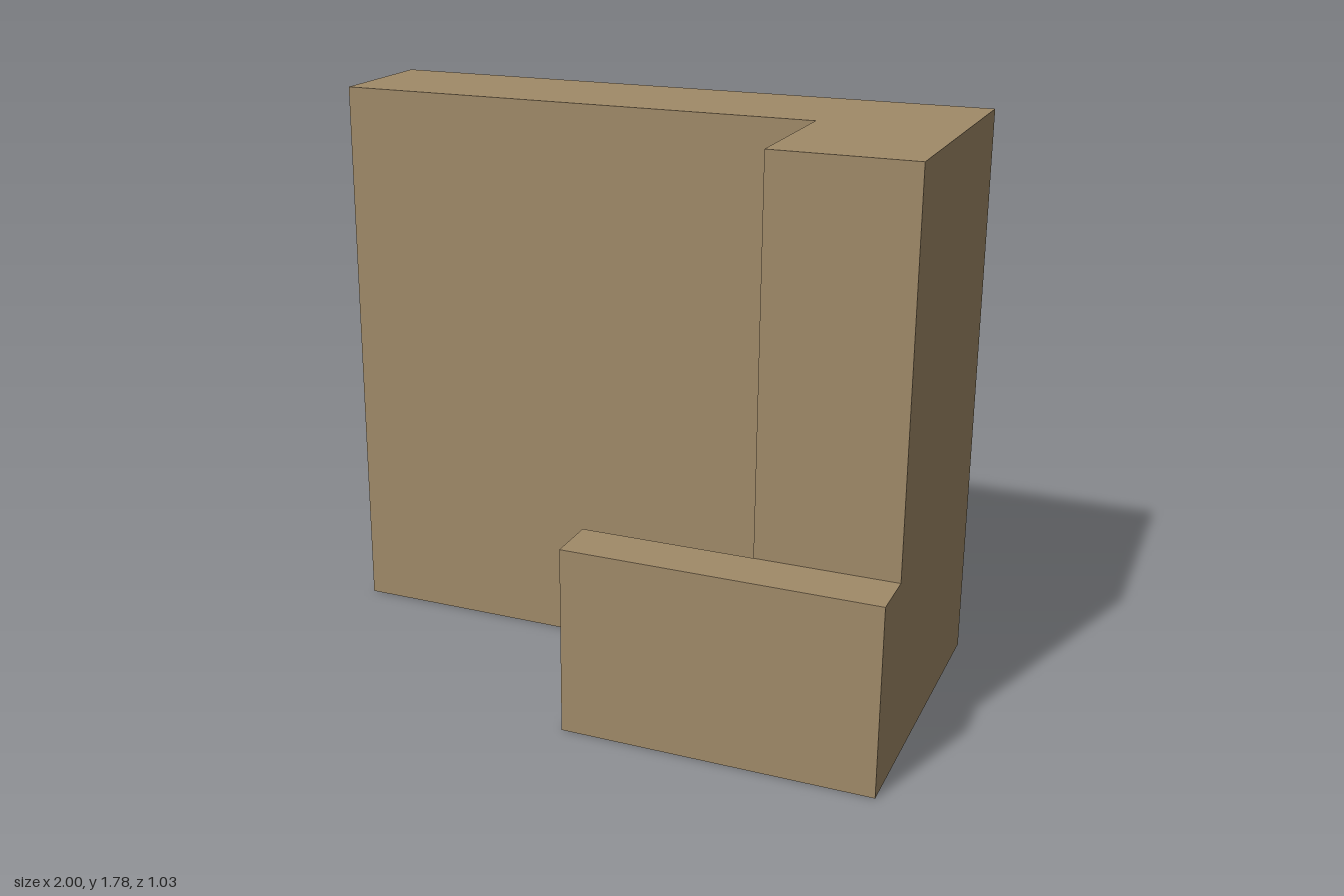
import * as THREE from 'three';

const HEIGHT = 1.785, LIP_HEIGHT = 0.595;
const BACK = -0.515, WALL_FRONT = -0.11, RETURN_FRONT = 0.35, LIP_FRONT = 0.515;
const RETURN_X = 0.565, LIP_X = 0.025;

// Extrudes a plan outline of [x, z] points upward from the floor.
function extrudePlan(name, points, height, material) {
  const shape = new THREE.Shape(points.map(([x, z]) => new THREE.Vector2(x, -z)));
  const geometry = new THREE.ExtrudeGeometry(shape, { depth: height, bevelEnabled: false });
  geometry.rotateX(-Math.PI / 2);
  const mesh = new THREE.Mesh(geometry, material);
  mesh.name = name;
  return mesh;
}

export function createModel() {
  const group = new THREE.Group();
  group.name = 'cornerWall';
  const material = new THREE.MeshStandardMaterial({ color: 0xa08a68 });

  // Tall back wall with its forward return, as one L-shaped block
  group.add(extrudePlan('wall', [
    [-1, BACK], [1, BACK], [1, RETURN_FRONT], [RETURN_X, RETURN_FRONT],
    [RETURN_X, WALL_FRONT], [-1, WALL_FRONT],
  ], HEIGHT, material));

  // Low front wall that hooks back across the opening
  group.add(extrudePlan('lowFrontWall', [
    [LIP_X, RETURN_FRONT], [1, RETURN_FRONT], [1, LIP_FRONT], [LIP_X, LIP_FRONT],
  ], LIP_HEIGHT, material));

  return group;
}
